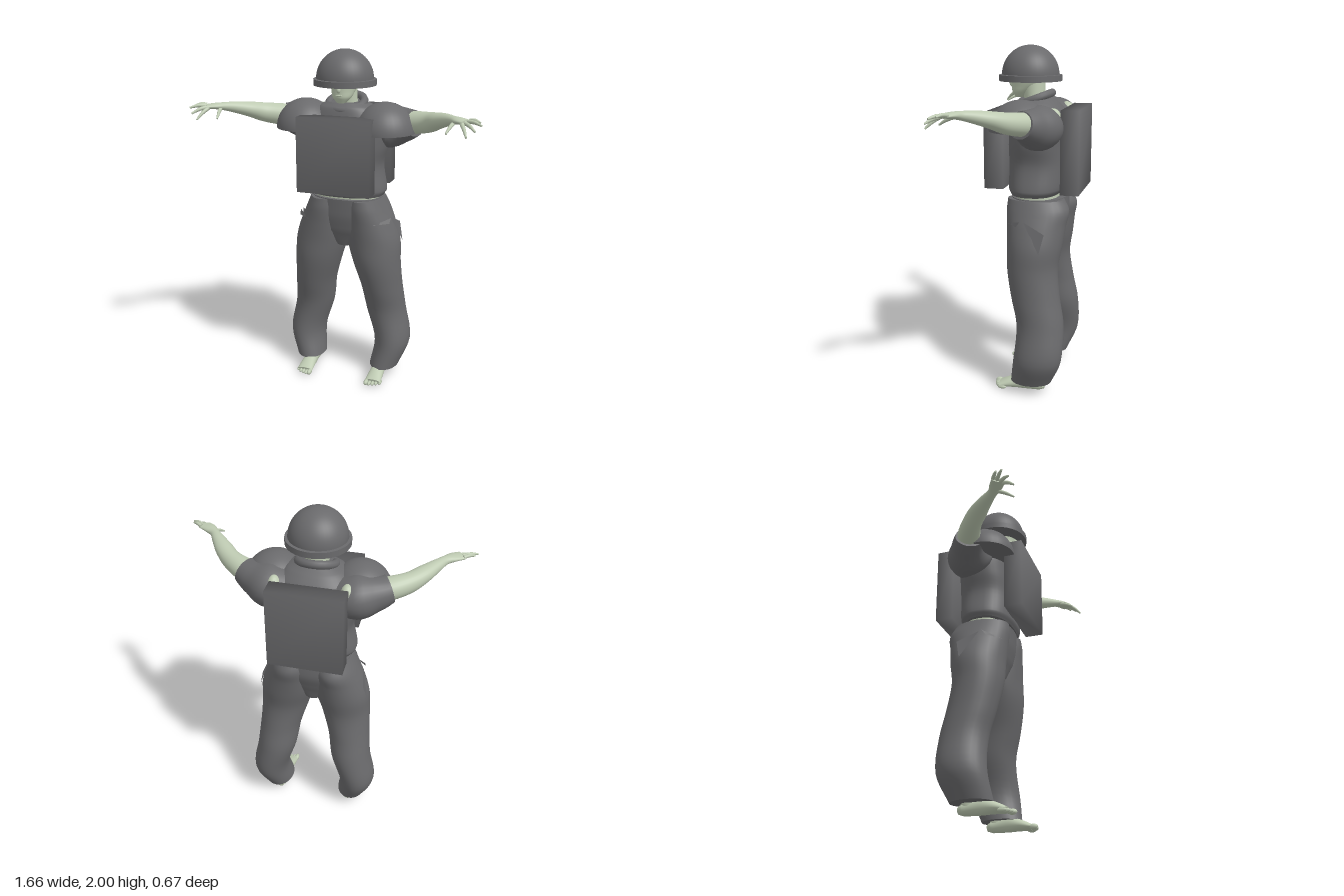
import * as THREE from 'three';
import { mergeGeometries, mergeVertices } from 'three/addons/utils/BufferGeometryUtils.js';

const cloth = new THREE.MeshStandardMaterial({ color: 0x6a6a6c, side: THREE.DoubleSide });
cloth.name = 'dark grey cloth';
const skin = new THREE.MeshStandardMaterial({ color: 0xbecab2, side: THREE.DoubleSide });
skin.name = 'pale green skin';

// Smooth loft through sections [x, y, z, halfA, halfB].
// Upright lofts use A along z and B along x; others use A sideways and B up.
function loft(sections, { upright = false, seg = 28, sub = 5, power = 2 } = {}) {
  const path = new THREE.CatmullRomCurve3(sections.map(s => new THREE.Vector3(s[0], s[1], s[2])));
  const size = new THREE.CatmullRomCurve3(sections.map(s => new THREE.Vector3(s[3], s[4], 0)));
  const steps = (sections.length - 1) * sub;
  const pos = [], idx = [], up = new THREE.Vector3(0, 1, 0);
  const bend = c => Math.sign(c) * Math.pow(Math.abs(c), 2 / power);
  const ring = t => {
    const p = path.getPoint(t), r = size.getPoint(t), dir = path.getTangent(t);
    const u = upright ? new THREE.Vector3(0, 0, 1) : up.clone().cross(dir).normalize();
    const v = upright ? new THREE.Vector3(1, 0, 0) : dir.clone().cross(u);
    for (let j = 0; j < seg; j++) {
      const a = (j / seg) * Math.PI * 2;
      const q = p.clone().addScaledVector(u, bend(Math.cos(a)) * r.x).addScaledVector(v, bend(Math.sin(a)) * r.y);
      pos.push(q.x, q.y, q.z);
    }
    return p;
  };
  for (let i = 0; i <= steps; i++) ring(i / steps);
  for (let i = 0; i < steps; i++) {
    for (let j = 0; j < seg; j++) {
      const a = i * seg + j, b = i * seg + (j + 1) % seg;
      idx.push(a, b, a + seg, b, b + seg, a + seg);
    }
  }
  // End caps with their own vertices keep the rims crisp
  for (const t of [0, 1]) {
    const base = pos.length / 3, c = ring(t);
    pos.push(c.x, c.y, c.z);
    for (let j = 0; j < seg; j++) {
      const a = base + j, b = base + (j + 1) % seg;
      idx.push(base + seg, t ? a : b, t ? b : a);
    }
  }
  const g = new THREE.BufferGeometry();
  g.setAttribute('position', new THREE.Float32BufferAttribute(pos, 3));
  g.setIndex(idx);
  g.computeVertexNormals();
  return g;
}

// Box whose normals are shared across its edges
function softBox(w, h, d) {
  const g = new THREE.BoxGeometry(w, h, d);
  g.deleteAttribute('uv');
  g.deleteAttribute('normal');
  const m = mergeVertices(g);
  m.computeVertexNormals();
  return m;
}

function triangle(...corners) {
  const g = new THREE.BufferGeometry().setFromPoints(corners.map(c => new THREE.Vector3(...c)));
  g.computeVertexNormals();
  return g;
}

export function createModel() {
  const model = new THREE.Group();
  model.name = 'soldier';
  const add = (name, geo, mat, x = 0, y = 0, z = 0, parent = model) => {
    const m = new THREE.Mesh(geo, mat);
    m.name = name;
    m.position.set(x, y, z);
    parent.add(m);
    return m;
  };
  const column = rows => rows.map(([y, cz, rz, rx]) => [0, y, cz, rz, rx]);
  const upright = { upright: true };

  // Helmet: dome, brim and closed underside
  const dome = new THREE.SphereGeometry(0.163, 40, 16, 0, Math.PI * 2, 0, Math.PI / 2);
  add('helmetDome', dome, cloth, 0, 1.837, -0.018);
  add('helmetBrim', new THREE.CylinderGeometry(0.179, 0.179, 0.034, 40), cloth, 0, 1.818, -0.018);

  // Head and neck
  add('head', loft(column([[1.708, 0.045, 0.025, 0.025], [1.74, 0.03, 0.058, 0.054],
    [1.78, 0, 0.092, 0.068], [1.83, -0.015, 0.115, 0.08]]), upright), skin);
  add('nose', new THREE.SphereGeometry(1, 12, 8), skin, 0, 1.785, 0.09).scale.set(0.013, 0.02, 0.016);
  add('lips', new THREE.SphereGeometry(1, 12, 8), skin, 0, 1.752, 0.083).scale.set(0.022, 0.007, 0.009);
  add('neck', loft(column([[1.6, -0.06, 0.09, 0.09], [1.7, -0.045, 0.062, 0.066],
    [1.8, -0.035, 0.068, 0.062]]), upright), skin);

  // Shirt, collar and bare waist
  add('shirt', loft(column([[1.165, -0.06, 0.14, 0.222], [1.2, -0.065, 0.16, 0.237],
    [1.34, -0.07, 0.165, 0.214], [1.45, -0.07, 0.165, 0.24], [1.55, -0.075, 0.165, 0.255],
    [1.63, -0.07, 0.15, 0.21], [1.68, -0.055, 0.12, 0.16], [1.705, -0.05, 0.09, 0.11]]),
  { upright: true, power: 2.4, seg: 40 }), cloth);
  const collar = add('collar', new THREE.TorusGeometry(0.102, 0.023, 10, 32), cloth, 0, 1.7, -0.045);
  collar.rotation.x = Math.PI / 2 + 0.35;
  add('waist', loft(column([[1.08, -0.075, 0.13, 0.2], [1.2, -0.07, 0.13, 0.2]]),
    { upright: true, power: 2.4 }), skin);

  // Chest and back plates
  add('chestPlate', softBox(0.43, 0.43, 0.11), cloth, 0, 1.425, 0.145);
  add('backPlate', softBox(0.424, 0.47, 0.105), cloth, 0, 1.425, -0.2875);

  // Seat of the trousers
  add('trouserSeat', loft(column([[0.85, -0.08, 0.1, 0.06], [0.95, -0.08, 0.135, 0.2],
    [1.05, -0.085, 0.16, 0.225], [1.15, -0.08, 0.162, 0.212]]), { upright: true, power: 2.3 }), cloth);

  // Half-ellipsoid pad with a flat base
  const padGeo = mergeGeometries([
    new THREE.SphereGeometry(1, 32, 14, 0, Math.PI * 2, 0, Math.PI / 2),
    new THREE.CircleGeometry(1, 32).rotateX(Math.PI / 2)]);

  for (const s of [1, -1]) {
    const side = s > 0 ? 'left' : 'right';
    const limb = new THREE.Group();
    limb.name = side + 'Limbs';
    model.add(limb);
    const flip = rows => rows.map(r => [r[0] * s, ...r.slice(1)]);
    const put = (name, rows, mat, opt) => add(name, loft(flip(rows), opt), mat, 0, 0, 0, limb);

    add('shoulderPad', padGeo, cloth, 0.238 * s, 1.547, -0.02, limb).scale.set(0.173, 0.168, 0.177);
    put('sleeve', [[0.14, 1.56, -0.1, 0.12, 0.1], [0.24, 1.565, -0.115, 0.14, 0.125],
      [0.33, 1.58, -0.095, 0.1, 0.1], [0.4, 1.598, -0.06, 0.083, 0.075]], cloth);
    add('shoulderBlade', new THREE.SphereGeometry(1, 16, 12), skin, 0.2 * s, 1.61, -0.19, limb)
      .scale.set(0.04, 0.06, 0.05);

    // Arm, palm and fingers
    put('arm', [[0.34, 1.595, -0.09, 0.07, 0.065], [0.42, 1.605, -0.055, 0.066, 0.063],
      [0.5, 1.62, -0.005, 0.056, 0.056], [0.56, 1.642, 0.055, 0.052, 0.045],
      [0.62, 1.662, 0.125, 0.037, 0.033], [0.66, 1.672, 0.175, 0.028, 0.024],
      [0.70, 1.677, 0.21, 0.038, 0.018], [0.745, 1.677, 0.24, 0.04, 0.012]], skin);
    const fingers = [[[0.755, 1.683, 0.212], [0.815, 1.68, 0.25]], [[0.748, 1.68, 0.232], [0.828, 1.672, 0.287]],
      [[0.735, 1.675, 0.248], [0.8, 1.645, 0.315]], [[0.722, 1.672, 0.26], [0.76, 1.615, 0.33]],
      [[0.675, 1.668, 0.2], [0.65, 1.622, 0.297]]];
    for (const [root, tip] of fingers) {
      const mid = root.map((c, k) => (c + tip[k]) / 2 + (k === 1 ? 0.006 : 0));
      put('finger', [[...root, 0.012, 0.011], [...mid, 0.01, 0.01], [...tip, 0.005, 0.005]], skin, { seg: 10, sub: 3 });
    }

    // Baggy trouser leg with pocket flaps
    put('trouserLeg', [[0.243, 0.065, -0.08, 0.12, 0.088], [0.28, 0.22, -0.125, 0.14, 0.108],
      [0.236, 0.42, -0.132, 0.138, 0.12], [0.215, 0.58, -0.1, 0.142, 0.125],
      [0.185, 0.75, -0.075, 0.148, 0.145], [0.163, 0.88, -0.083, 0.16, 0.16],
      [0.14, 1.0, -0.088, 0.172, 0.145], [0.125, 1.08, -0.092, 0.182, 0.125],
      [0.115, 1.145, -0.08, 0.165, 0.105]], cloth, upright);
    add('sidePocket', triangle([0.275 * s, 1.04, -0.04], [0.325 * s, 0.87, -0.14], [0.3 * s, 0.98, -0.165]), cloth, 0, 0, 0, limb);
    add('frontPocket', triangle([0.2 * s, 1.01, 0.07], [0.285 * s, 1.04, -0.02], [0.28 * s, 1.01, 0]), cloth, 0, 0, 0, limb);

    // Ankle, foot and toes
    put('ankle', [[0.225, 0.03, -0.1, 0.045, 0.034], [0.23, 0.2, -0.1, 0.045, 0.04]], skin, upright);
    put('foot', [[0.225, 0.03, -0.16, 0.018, 0.018], [0.225, 0.035, -0.13, 0.034, 0.033],
      [0.224, 0.045, -0.04, 0.038, 0.045], [0.224, 0.034, 0.04, 0.045, 0.032],
      [0.224, 0.018, 0.11, 0.049, 0.016]], skin);
    for (let i = 0; i < 5; i++) {
      const r = i ? 0.01 : 0.014;
      add('toe', new THREE.SphereGeometry(1, 12, 8), skin, (0.187 + i * 0.02) * s, r + 0.002, 0.125 - i * i * 0.002, limb)
        .scale.set(r, r + 0.002, 0.026);
    }
  }
  return model;
}
